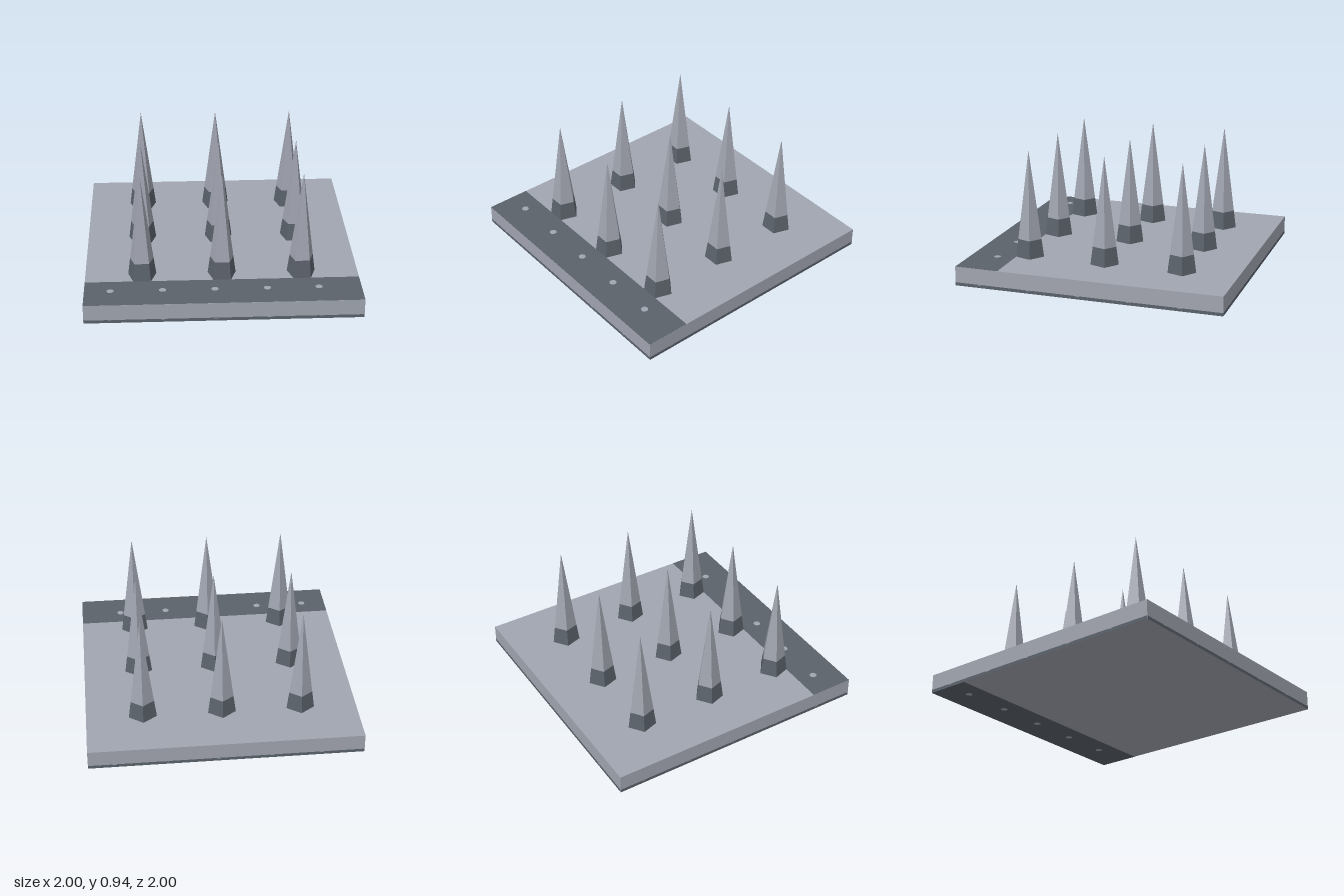
import * as THREE from 'three';

const HALF = 1, TOP = 0.145, BAND = 0.024, STRIP = 0.33;
const BOLTS = [-0.81, -0.435, -0.06, 0.318, 0.69];

export function createModel() {
  const root = new THREE.Group();
  const light = new THREE.MeshStandardMaterial({ name: 'light steel', color: 0xa1a5b0, flatShading: true });
  const dark = new THREE.MeshStandardMaterial({ name: 'dark steel', color: 0x5b626b, flatShading: true });

  const add = (parent, name, geometry, material, x = 0, y = 0, z = 0) => {
    const mesh = new THREE.Mesh(geometry, material);
    mesh.name = name;
    mesh.position.set(x, y, z);
    parent.add(mesh);
    return mesh;
  };

  // Base slab, a hair smaller so the painted faces end at the full size
  const slab = 2 * HALF - 0.004;
  add(root, 'baseSlab', new THREE.BoxGeometry(slab, TOP - 0.004, slab), light, 0, TOP / 2, 0);

  // Riveted strip on the top front edge and on the underside back edge
  for (const side of [1, -1]) {
    const strip = new THREE.Group();
    strip.name = side > 0 ? 'topStrip' : 'undersideStrip';
    add(strip, 'stripPanel', new THREE.PlaneGeometry(slab, STRIP), dark, 0, HALF - STRIP / 2 - 0.002, 0);
    for (const x of BOLTS) {
      const rivet = new THREE.CircleGeometry(0.027, 8, Math.PI / 8);
      add(strip, 'rivet', rivet, light, x, 0.8, 0.001);
    }
    strip.rotation.x = -side * Math.PI / 2;
    // The local +y edge must lie at +z on top and at -z underneath
    strip.children.forEach((m) => { m.position.y *= -1; });
    strip.position.y = side > 0 ? TOP - 0.001 : 0.001;
    if (side < 0) strip.children.forEach((m) => { m.position.y = -Math.abs(m.position.y); });
    root.add(strip);
  }

  // Dark band and rivet tips low on each of the four sides
  for (let i = 0; i < 4; i++) {
    const face = new THREE.Group();
    face.name = 'sideBand';
    add(face, 'bandPanel', new THREE.PlaneGeometry(slab, BAND), dark, 0, BAND / 2 + 0.001, HALF - 0.001);
    for (const x of BOLTS) {
      add(face, 'bandRivet', new THREE.PlaneGeometry(0.03, 0.004), light, x, BAND - 0.002, HALF);
    }
    face.rotation.y = i * Math.PI / 2;
    root.add(face);
  }

  // Nine five-sided spikes, each with a dark foot
  const R = 0.108, H = 0.8, FOOT = 0.135;
  const neck = R * (1 - FOOT / H);
  const footGeometry = new THREE.CylinderGeometry(neck, R, FOOT, 5, 1, true, Math.PI);
  const tipGeometry = new THREE.ConeGeometry(neck, H - FOOT, 5, 1, true, Math.PI);
  for (const x of [-0.582, 0, 0.582]) {
    for (const z of [-0.582, 0, 0.582]) {
      const spike = new THREE.Group();
      spike.name = 'spike';
      add(spike, 'spikeFoot', footGeometry, dark, 0, FOOT / 2, 0);
      add(spike, 'spikeTip', tipGeometry, light, 0, (H + FOOT) / 2, 0);
      spike.position.set(x, TOP - 0.002, z);
      root.add(spike);
    }
  }
  return root;
}
